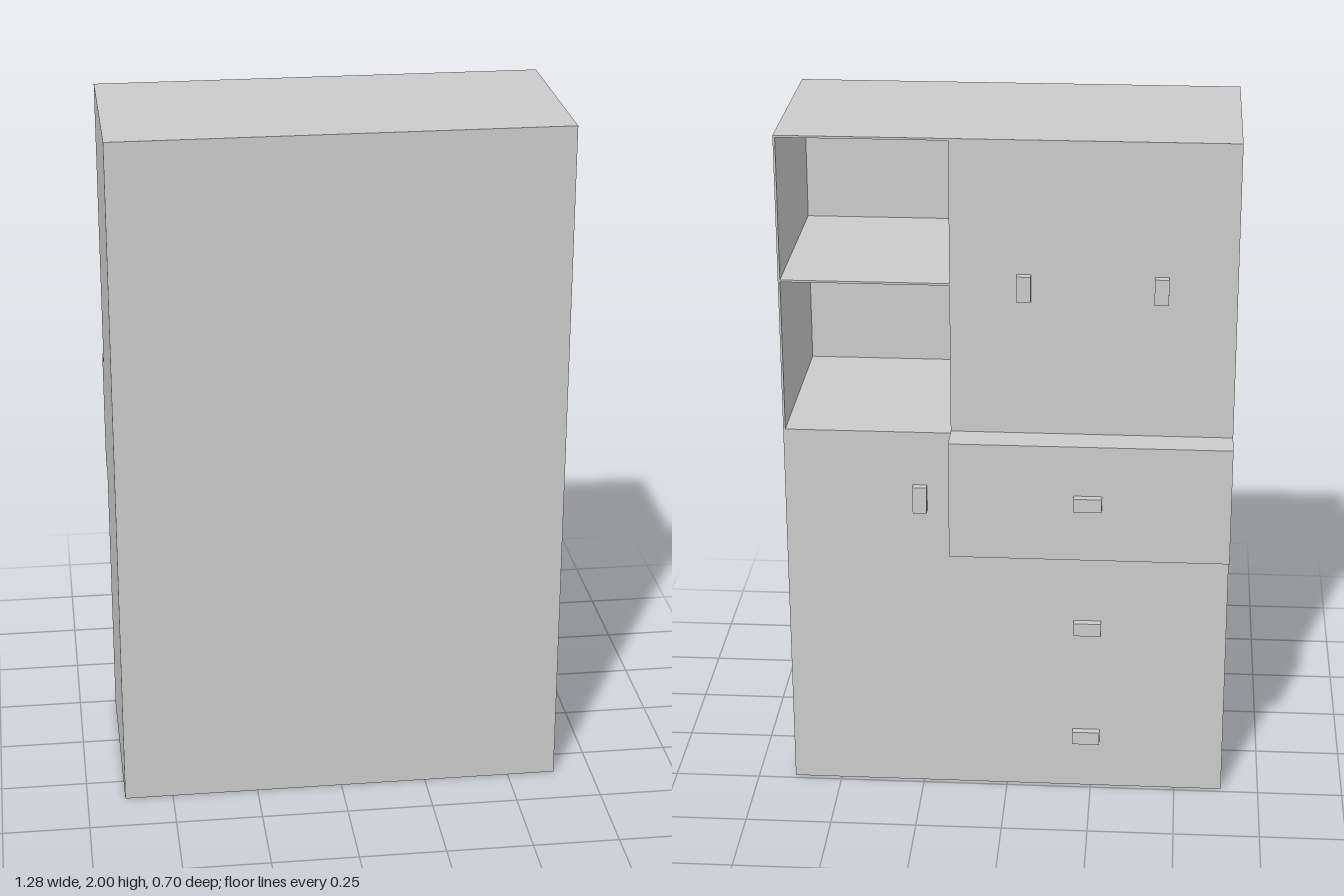
import * as THREE from 'three';

const material = new THREE.MeshStandardMaterial({ color: 0xcccccc });

// Outer limits of the cabinet; its doors and drawers open towards -z
const X0 = -0.64, X1 = 0.64, TOP = 2, FACE = -0.235, REAR = 0.35;
const SPLIT = 0.16;                 // wall between the drawer column and the shelf column
const T = 0.006;                    // sheet thickness
const SHELVES = [1.13, 1.58];

// Box given by its limits on each axis
function block(parent, name, [x0, x1], [y0, y1], [z0, z1]) {
  const mesh = new THREE.Mesh(new THREE.BoxGeometry(x1 - x0, y1 - y0, z1 - z0), material);
  mesh.position.set((x0 + x1) / 2, (y0 + y1) / 2, (z0 + z1) / 2);
  mesh.name = name;
  parent.add(mesh);
  return mesh;
}

// Small pull standing off a front at depth z
function handle(parent, x, y, z, w, h) {
  block(parent, 'handle', [x - w / 2, x + w / 2], [y - h / 2, y + h / 2], [z - 0.023, z]);
}

export function createModel() {
  const model = new THREE.Group();
  model.name = 'cabinet';

  // Carcass of thin sheets
  const carcass = new THREE.Group();
  carcass.name = 'carcass';
  model.add(carcass);
  const depth = [FACE, REAR - T], inner = [T, TOP - T];
  block(carcass, 'plainPanel', [X0, X1], [0, TOP], [REAR - T, REAR]);
  block(carcass, 'topPanel', [X0, X1], [TOP - T, TOP], depth);
  block(carcass, 'bottomPanel', [X0, X1], [0, T], depth);
  block(carcass, 'leftPanel', [X1 - T, X1], inner, depth);
  block(carcass, 'rightPanel', [X0, X0 + T], inner, depth);
  block(carcass, 'divider', [SPLIT - T, SPLIT], inner, depth);

  // Open shelves
  for (const y of SHELVES) block(carcass, 'shelf', [SPLIT, X1 - T], [y - T / 2, y + T / 2], depth);

  // Door below the shelves
  const sideDoor = new THREE.Group();
  sideDoor.name = 'sideDoor';
  model.add(sideDoor);
  block(sideDoor, 'sideDoorPanel', [SPLIT, X1 - T], [T, SHELVES[0] - T / 2], [FACE, FACE + 0.02]);
  handle(sideDoor, 0.25, 0.93, FACE, 0.04, 0.08);

  // Pair of upper doors
  const middle = (X0 + SPLIT) / 2;
  const doors = [[X0 + T, middle, -0.43], [middle, SPLIT - T, -0.047]];
  for (const [a, b, handleX] of doors) {
    const door = new THREE.Group();
    door.name = 'upperDoor';
    model.add(door);
    block(door, 'doorPanel', [a, b], [1.14, TOP - T], [FACE, FACE + 0.02]);
    handle(door, handleX, 1.577, FACE, 0.04, 0.075);
  }

  // Two closed drawers
  for (const [y0, y1, handleY] of [[T, 0.36, 0.17], [0.36, 0.79, 0.53]]) {
    const drawer = new THREE.Group();
    drawer.name = 'closedDrawer';
    model.add(drawer);
    block(drawer, 'drawerFront', [X0 + T, SPLIT - T], [y0, y1], [FACE, FACE + 0.02]);
    handle(drawer, -0.235, handleY, FACE, 0.08, 0.04);
  }

  // Drawer standing partly open
  const open = new THREE.Group();
  open.name = 'openDrawer';
  model.add(open);
  block(open, 'drawerHousing', [X0 + T, SPLIT - T], [0.79, 1.14], [FACE, FACE + 0.02]);
  block(open, 'drawerBox', [X0, SPLIT], [0.79, 1.14], [-0.33, FACE]);
  handle(open, -0.235, 0.97, -0.33, 0.08, 0.04);

  return model;
}
